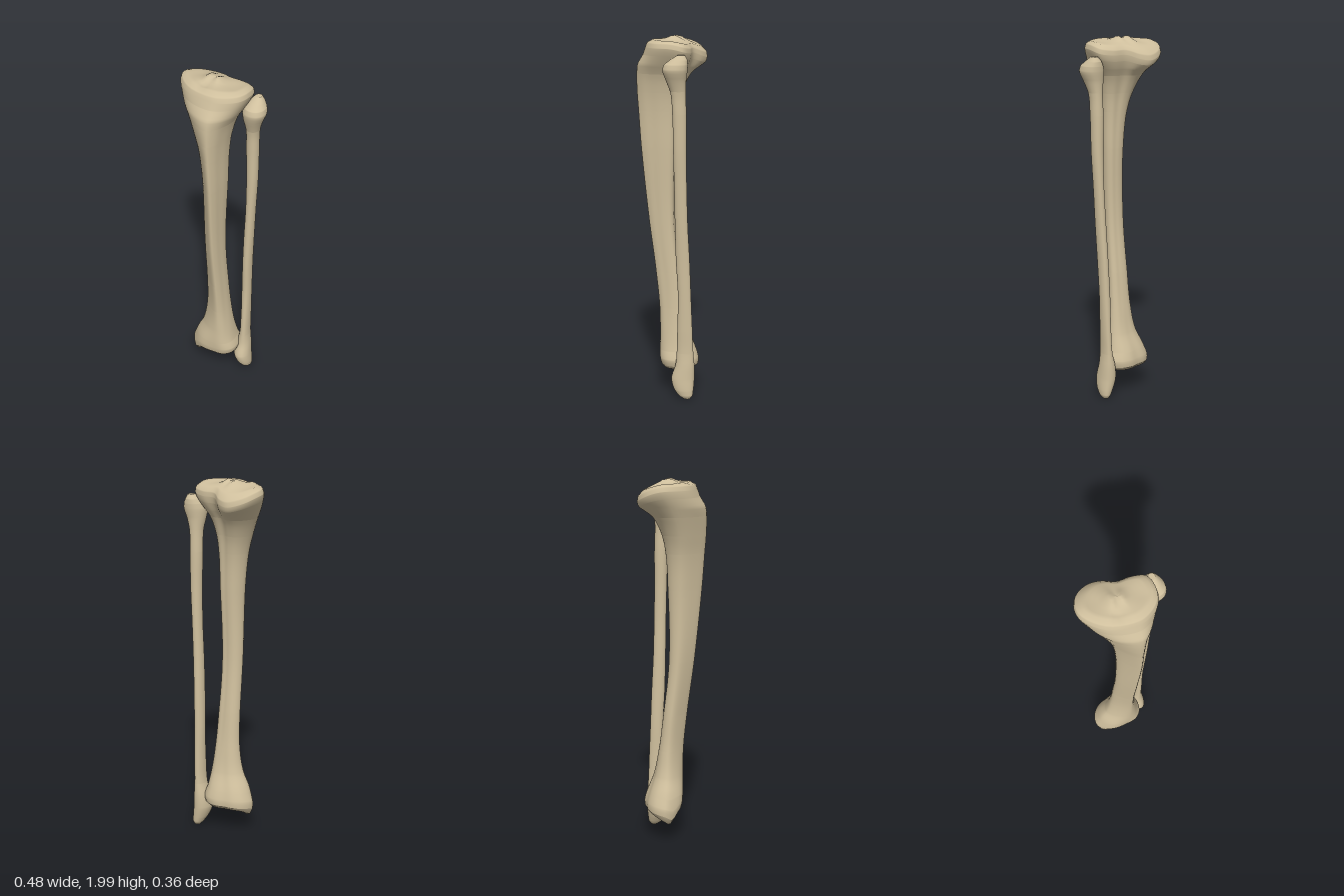
import * as THREE from 'three';

const SEGMENTS = 60;
const bone = new THREE.MeshStandardMaterial({ color: 0xcfbf9d });
bone.name = 'bone';

// Outlines in a unit box (u: 0 right..1 left of the body, v: 0 back..1 front), starting at the front crest
const PLATEAU = [[.64, 1], [.81, .93], [.95, .77], [1, .57], [.96, .27], [.79, .18],
  [.59, .17], [.44, .04], [.27, 0], [.06, .17], [0, .5], [.25, .88]];
const SHAFT = [[.76, 1], [.9, .84], [.96, .6], [1, .35], [.95, .1], [.8, 0],
  [.6, 0], [.42, 0], [.22, .05], [.05, .2], [0, .42], [.36, .78]];
const ANKLE = [[.62, .98], [.84, .93], [.97, .76], [1, .5], [.94, .2], [.79, .03],
  [.6, 0], [.4, .08], [.2, .16], [.04, .36], [0, .66], [.28, .96]];
const SLENDER = [[.55, 1], [.8, .93], [.96, .74], [1, .5], [.93, .24], [.75, .05],
  [.5, 0], [.24, .07], [.06, .26], [0, .5], [.07, .76], [.27, .94]];

// Rows: y, x min, x max, z back, z front, blend (+1 plateau, 0 shaft, -1 ankle)
const TIBIA = [
  [.155, -.165, .075, -.14, .035, -1],
  [.175, -.18, .092, -.158, .05, -1],
  [.21, -.18, .1, -.16, .058, -1],
  [.26, -.16, .085, -.145, .06, -.9],
  [.35, -.115, .07, -.11, .056, -.6],
  [.5, -.085, .054, -.08, .057, -.25],
  [.7, -.075, .046, -.053, .076, 0],
  [1, -.068, .045, -.022, .115, 0],
  [1.4, -.07, .058, -.028, .155, 0],
  [1.6, -.092, .064, -.04, .17, .1],
  [1.7, -.122, .075, -.06, .178, .25],
  [1.8, -.166, .1, -.105, .18, .5],
  [1.85, -.195, .127, -.145, .174, .75],
  [1.9, -.224, .152, -.172, .145, .95],
  [1.94, -.238, .167, -.18, .13, 1],
  [1.968, -.228, .16, -.174, .117, 1],
  [1.983, -.2, .14, -.15, .09, 1]];
const FIBULA = [
  [.01, .115, .145, -.14, -.105],
  [.025, .103, .155, -.152, -.08],
  [.06, .083, .16, -.157, -.05],
  [.12, .062, .157, -.16, -.032],
  [.2, .07, .15, -.16, -.055],
  [.27, .088, .143, -.155, -.062],
  [.4, .095, .145, -.15, -.066],
  [.6, .097, .15, -.142, -.07],
  [.8, .104, .156, -.135, -.06],
  [1, .112, .166, -.126, -.056],
  [1.2, .122, .175, -.122, -.054],
  [1.4, .125, .186, -.12, -.05],
  [1.6, .122, .19, -.12, -.045],
  [1.72, .123, .196, -.117, -.034],
  [1.78, .115, .216, -.12, -.012],
  [1.83, .111, .236, -.128, .003],
  [1.86, .118, .232, -.13, -.004],
  [1.885, .134, .215, -.128, -.035],
  [1.91, .158, .196, -.116, -.075]];

const bump = (x, z, cx, cz, rx, rz) => Math.exp(-(((x - cx) / rx) ** 2) - ((z - cz) / rz) ** 2);

// Skin a smooth closed surface over the rows, with rounded ends, then apply a local shaping rule
function loft(name, rows, outlineAt, steps, shape = () => 0) {
  const width = rows[0].length - 1;
  const track = new THREE.CubicInterpolant(rows.map(r => r[0]), rows.flatMap(r => r.slice(1)), width);
  const y0 = rows[0][0], y1 = rows[rows.length - 1][0];
  const levels = new Set(rows.map(r => r[0]));
  for (let i = 1; i < steps; i++) levels.add(y0 + (y1 - y0) * i / steps);
  const rings = [...levels].sort((a, b) => a - b).map(y => [y, 1]);
  for (const s of [.85, .7, .55, .4, .25, .12, .001]) {
    rings.unshift([y0, s]);
    rings.push([y1, s]);
  }
  const position = [], index = [];
  rings.forEach(([y, s], i) => {
    const [xa, xb, zb, zf, blend = 0] = Array.from(track.evaluate(y));
    const cx = (xa + xb) / 2, cz = (zb + zf) / 2;
    const curve = new THREE.CatmullRomCurve3(outlineAt(blend).map(([u, v]) =>
      new THREE.Vector3(xa + (xb - xa) * u, 0, zb + (zf - zb) * v)), true);
    for (let j = 0; j < SEGMENTS; j++) {
      const p = curve.getPoint(j / SEGMENTS);
      const x = cx + (p.x - cx) * s, z = cz + (p.z - cz) * s;
      position.push(x, y + shape(x, y, z), z);
      if (i === rings.length - 1) continue;
      const a = i * SEGMENTS + j, b = i * SEGMENTS + (j + 1) % SEGMENTS;
      index.push(a, b, a + SEGMENTS, b, b + SEGMENTS, a + SEGMENTS);
    }
  });
  const geometry = new THREE.BufferGeometry();
  geometry.setAttribute('position', new THREE.Float32BufferAttribute(position, 3));
  geometry.setIndex(index);
  geometry.computeVertexNormals();
  const mesh = new THREE.Mesh(geometry, bone);
  mesh.name = name;
  return mesh;
}

function tibiaOutline(blend) {
  const end = blend > 0 ? PLATEAU : ANKLE, t = Math.min(1, Math.abs(blend));
  return SHAFT.map(([u, v], i) => [u + (end[i][0] - u) * t, v + (end[i][1] - v) * t]);
}

// Backward slope, shallow sockets and central ridges on top; inner ankle knob and hollow joint below
function tibiaShape(x, y, z) {
  const slope = THREE.MathUtils.smoothstep(y, 1.75, 1.95);
  const top = THREE.MathUtils.smoothstep(y, 1.95, 1.983);
  const low = 1 - THREE.MathUtils.smoothstep(y, .17, .3);
  const under = 1 - THREE.MathUtils.smoothstep(y, .155, .175);
  return -slope * 1.8 * Math.min(0, z) ** 2
    + top * (.02 * bump(x, z, -.065, -.03, .022, .05) + .02 * bump(x, z, -.012, -.02, .022, .04)
      - .012 * bump(x, z, -.15, -.05, .05, .07) - .01 * bump(x, z, .08, -.02, .05, .06)
      - .012 * bump(x, z, -.06, .06, .03, .03))
    - low * .05 * bump(x, z, -.15, -.01, .035, .055)
    + under * .018 * bump(x, z, -.03, -.05, .07, .06);
}

export function createModel() {
  const group = new THREE.Group();
  group.name = 'lowerLegBones';
  group.add(loft('shinBone', TIBIA, tibiaOutline, 90, tibiaShape));
  group.add(loft('calfBone', FIBULA, () => SLENDER, 80));
  return group;
}
